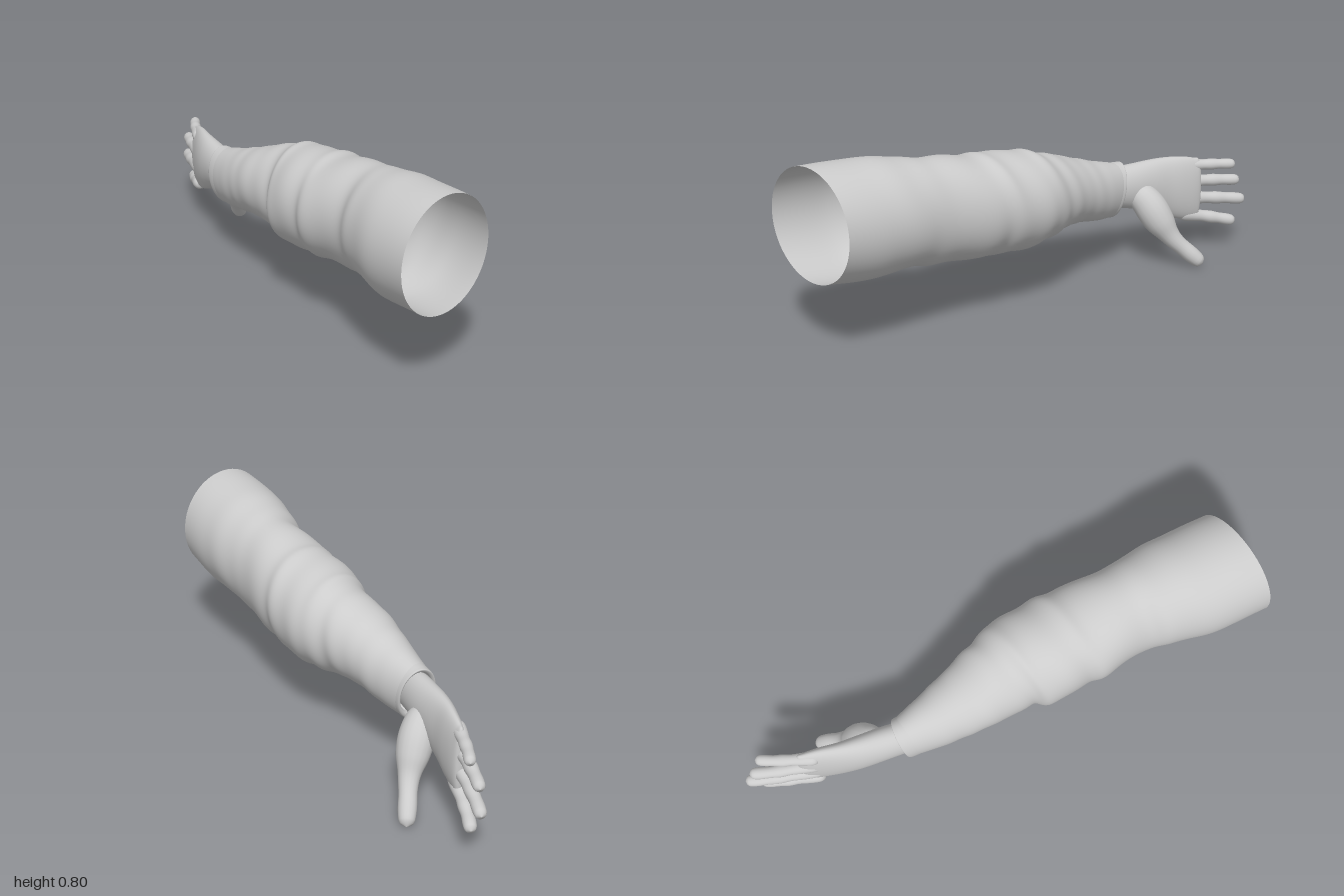
import * as THREE from 'three';
import { mergeVertices } from 'three/addons/utils/BufferGeometryUtils.js';

const material = new THREE.MeshStandardMaterial({ color: 0xcccccc, side: THREE.DoubleSide });

// Smooth interpolation through a list of equally spaced rows
function sample(rows, t) {
  const f = t * (rows.length - 1);
  const i = Math.min(Math.floor(f), rows.length - 2), k = f - i;
  const at = (n) => rows[Math.max(0, Math.min(rows.length - 1, n))];
  return rows[i].map((b, c) => {
    const a = at(i - 1)[c], d = at(i + 1)[c], e = at(i + 2)[c];
    return b + 0.5 * k * (d - a + k * (2 * a - 5 * b + 4 * d - e + k * (3 * (b - d) + e - a)));
  });
}

// Skin over upright oval sections: [ax, az, bx, bz, yLow, yHigh, lean]
function loft(rows, rings, sides, bump = () => 0) {
  const pos = [], index = [];
  for (let i = 0; i <= rings; i++) {
    const t = i / rings;
    const [ax, az, bx, bz, y0, y1, lean] = sample(rows, t);
    for (let j = 0; j < sides; j++) {
      const a = (j / sides) * Math.PI * 2, s = 1 + bump(t, a);
      const c = Math.cos(a) * s * 0.5, v = Math.sin(a) * s;
      pos.push(
        (ax + bx) / 2 + (bx - ax) * c - 0.55 * lean * v,
        (y0 + y1) / 2 + (y1 - y0) * 0.5 * v,
        (az + bz) / 2 + (bz - az) * c - 0.83 * lean * v
      );
      if (i < rings) {
        const p = i * sides + j, q = i * sides + ((j + 1) % sides);
        index.push(p, p + sides, q, q, p + sides, q + sides);
      }
    }
  }
  const g = new THREE.BufferGeometry();
  g.setAttribute('position', new THREE.Float32BufferAttribute(pos, 3));
  g.setIndex(index);
  g.computeVertexNormals();
  return g;
}

// Round-ended tube whose radius follows the given list
function digit(points, radii) {
  const curve = new THREE.CatmullRomCurve3(points.map((p) => new THREE.Vector3(...p)));
  const rings = 36, sides = 18, length = curve.getLength();
  let g = new THREE.TubeGeometry(curve, rings, 1, sides);
  const pos = g.attributes.position, v = new THREE.Vector3();
  for (let i = 0; i <= rings; i++) {
    const t = i / rings, c = curve.getPointAt(t);
    let r = sample(radii.map((x) => [x]), t)[0];
    const toEnd = Math.min(t, 1 - t) * length;
    if (toEnd < r) r *= Math.sqrt(Math.max(0.0004, 1 - (1 - toEnd / r) ** 2));
    for (let j = 0; j <= sides; j++) {
      const n = i * (sides + 1) + j;
      v.fromBufferAttribute(pos, n).sub(c).multiplyScalar(r).add(c);
      pos.setXYZ(n, v.x, v.y, v.z);
    }
  }
  g.deleteAttribute('uv');
  g.deleteAttribute('normal');
  g = mergeVertices(g, 1e-5);
  g.computeVertexNormals();
  return g;
}

export function createModel() {
  const model = new THREE.Group();
  model.name = 'sleevedArm';
  const add = (name, geometry, parent = model) => {
    const m = new THREE.Mesh(geometry, material);
    m.name = name;
    parent.add(m);
  };

  // Sleeve, open at the shoulder and turned in at the cuff
  const sleeveRows = [
    [0.40, 0.99, 0.71, 0.65, 0.33, 0.80, 0],
    [0.26, 0.80, 0.60, 0.50, 0.305, 0.79, 0],
    [0.18, 0.64, 0.49, 0.37, 0.315, 0.765, 0],
    [0.13, 0.53, 0.39, 0.26, 0.295, 0.74, 0],
    [0.00, 0.40, 0.28, 0.09, 0.28, 0.715, 0],
    [-0.06, 0.32, 0.21, 0.00, 0.265, 0.70, 0],
    [-0.16, 0.20, 0.12, -0.11, 0.26, 0.68, 0],
    [-0.18, 0.12, 0.03, -0.17, 0.275, 0.655, 0],
    [-0.26, 0.03, -0.05, -0.22, 0.285, 0.62, 0],
    [-0.33, -0.07, -0.13, -0.27, 0.285, 0.58, 0.01],
    [-0.38, -0.15, -0.20, -0.32, 0.27, 0.545, 0.015],
    [-0.43, -0.24, -0.27, -0.37, 0.255, 0.515, 0.02],
    [-0.475, -0.325, -0.335, -0.415, 0.25, 0.49, 0.025],
  ];
  const folds = (t, a) => {
    const fade = Math.sin(Math.PI * Math.min(1, t * 1.03));
    return fade * (0.016 * Math.sin(46 * t + 2.2 * Math.sin(a + 0.6)) +
      0.012 * Math.sin(71 * t - 2 * Math.cos(a) + Math.sin(2 * a)) +
      0.008 * Math.sin(3 * a + 17 * t));
  };
  add('sleeve', loft(sleeveRows, 140, 56, folds));

  // Cuff band with a rounded, turned-in hem
  add('cuff', loft([
    [-0.455, -0.29, -0.31, -0.385, 0.255, 0.498, 0.024],
    [-0.478, -0.325, -0.335, -0.415, 0.247, 0.494, 0.025],
    [-0.486, -0.343, -0.348, -0.428, 0.25, 0.492, 0.025],
    [-0.475, -0.348, -0.355, -0.425, 0.27, 0.48, 0.02],
    [-0.46, -0.335, -0.35, -0.41, 0.28, 0.47, 0.02],
  ], 24, 56));

  // Wrist and palm: centre x, centre z, half thickness, yLow, yHigh
  const hand = new THREE.Group();
  hand.name = 'hand';
  model.add(hand);
  const palmRows = [
    [-0.385, -0.33, 0.062, 0.285, 0.465],
    [-0.425, -0.40, 0.064, 0.28, 0.472],
    [-0.465, -0.47, 0.064, 0.26, 0.475],
    [-0.505, -0.54, 0.060, 0.23, 0.478],
    [-0.54, -0.61, 0.052, 0.20, 0.478],
    [-0.568, -0.68, 0.045, 0.175, 0.473],
    [-0.593, -0.74, 0.036, 0.165, 0.46],
    [-0.605, -0.772, 0.022, 0.18, 0.44],
    [-0.609, -0.78, 0.001, 0.305, 0.307],
  ].map(([x, z, t, y0, y1]) =>
    [x - 0.89 * t, z + 0.45 * t, x + 0.89 * t, z - 0.45 * t, y0, y1, 0]);
  add('palm', loft(palmRows, 56, 40));

  // Fingers: base y, tip x, tip y, tip z
  [
    ['littleFinger', 0.425, -0.642, 0.415, -0.94, 0.024],
    ['ringFinger', 0.35, -0.682, 0.325, -0.967, 0.026],
    ['middleFinger', 0.273, -0.692, 0.228, -0.997, 0.027],
    ['indexFinger', 0.197, -0.657, 0.132, -0.953, 0.027],
  ].forEach(([name, y, tx, ty, tz, r]) => {
    const mid = (k, bend) => [
      -0.58 + (tx + 0.58) * k - bend, y + (ty - y) * k, -0.68 + (tz + 0.68) * k];
    add(name, digit(
      [mid(0, 0), mid(0.35, 0.005), mid(0.7, 0.006), mid(1, 0)],
      [r * 1.1, r * 1.2, r * 1.1, r * 0.97, r * 1.05, r * 0.93, r * 0.97, r * 0.85]), hand);
  });

  // Thumb with its fleshy base
  add('thumb', digit(
    [[-0.46, 0.37, -0.46], [-0.435, 0.30, -0.53], [-0.418, 0.22, -0.585],
      [-0.408, 0.14, -0.645], [-0.41, 0.075, -0.715], [-0.412, 0.015, -0.785]],
    [0.05, 0.066, 0.073, 0.066, 0.046, 0.037, 0.037, 0.03]), hand);

  return model;
}
